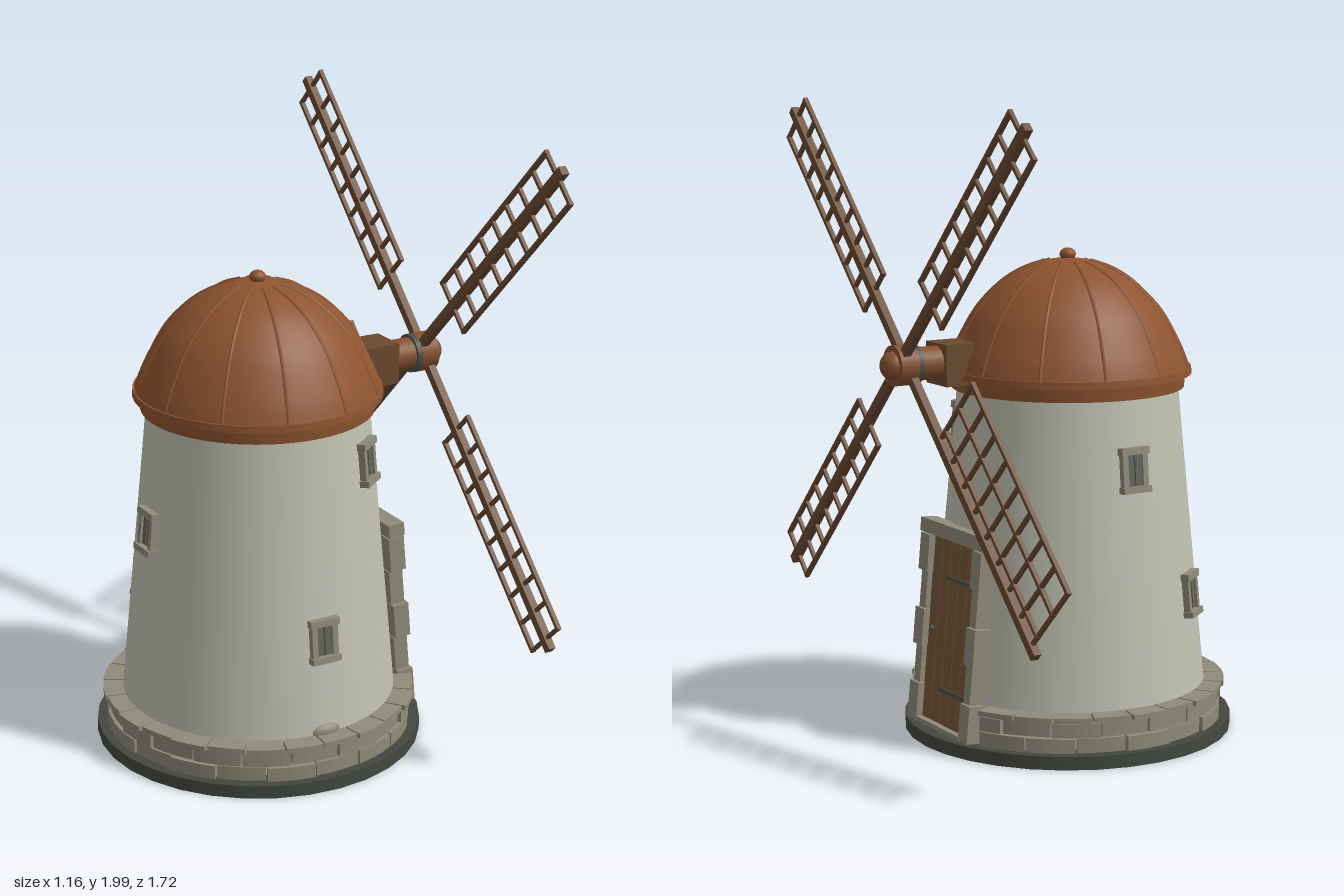
import * as THREE from 'three';

const mat = (name, color) => Object.assign(new THREE.MeshStandardMaterial({ color }), { name });

export function createModel() {
  const wall = mat('limewash', 0xc0c1b1), stone = mat('stone', 0x8f8b79), base = mat('dark plinth', 0x434840),
    roof = mat('rust roof', 0x8f5430), wood = mat('sail timber', 0x6a4a30), doorWood = mat('door timber', 0x765536),
    metal = mat('iron', 0x4c504c), shutter = mat('shutter', 0x63665a), rustWood = mat('hub timber', 0x84502f);

  const model = new THREE.Group();
  model.name = 'windmill';
  const mill = new THREE.Group();
  mill.name = 'mill';
  mill.position.set(-0.063, 0, 0.01);
  model.add(mill);

  const add = (parent, name, geo, m, x = 0, y = 0, z = 0) => {
    const mesh = new THREE.Mesh(geo, m);
    mesh.name = name;
    mesh.position.set(x, y, z);
    parent.add(mesh);
    return mesh;
  };
  const box = (parent, name, m, w, h, d, x, y, z) => add(parent, name, new THREE.BoxGeometry(w, h, d), m, x, y, z);
  const cyl = (rt, rb, h, n = 32) => new THREE.CylinderGeometry(rt, rb, h, n);

  // Tapered tower on a dark plinth
  const SLOPE = 0.0947, wallRadius = (y) => 0.44 - SLOPE * (y - 0.15);
  add(mill, 'plinth', cyl(0.525, 0.525, 0.042), base, 0, 0.021, 0);
  add(mill, 'tower', cyl(wallRadius(1.12), wallRadius(0.03), 1.09, 48), wall, 0, 0.575, 0);
  add(mill, 'footStone', new THREE.SphereGeometry(0.05, 16, 10), stone, 0, 0.16, 0.432).scale.set(1, 0.5, 0.4);

  // Stone courses, left open at the door (+x)
  const ringBlock = (a0, a1, r0, r1, h) => {
    const s = new THREE.Shape();
    s.absarc(0, 0, r1, a0, a1, false);
    s.absarc(0, 0, r0, a1, a0, true);
    return new THREE.ExtrudeGeometry(s, { depth: h, bevelEnabled: false, curveSegments: 3 }).rotateX(-Math.PI / 2);
  };
  const OPEN = 0.42, SPAN = Math.PI * 2 - OPEN * 2;
  [[0.042, 0.045, 0.492, 17, 0], [0.09, 0.045, 0.488, 17, 0.5], [0.139, 0.016, 0.503, 22, 0]].forEach(([y, h, r, n, shift], c) => {
    for (let i = 0; i < n + (shift ? 1 : 0); i++) {
      const f0 = Math.max(0, i - shift) / n, f1 = Math.min(n, i + 1 - shift) / n;
      const wobble = 0.005 * Math.sin(i * 2.7 + c * 1.9);
      add(mill, 'courseStone', ringBlock(OPEN + SPAN * f0 + 0.006, OPEN + SPAN * f1 - 0.006, 0.425, r + wobble, h), stone, 0, y, 0);
    }
  });
  add(mill, 'courseMortar', ringBlock(OPEN, OPEN + SPAN, 0.43, 0.472, 0.1), stone, 0, 0.04, 0);

  // Group lying on the leaning wall; angle runs from +z towards +x
  const onWall = (name, angle, y) => {
    const g = new THREE.Group(), r = wallRadius(y);
    g.name = name;
    g.position.set(Math.sin(angle) * r, y, Math.cos(angle) * r);
    g.rotation.set(-Math.atan(SLOPE), angle, 0, 'YXZ');
    mill.add(g);
    return g;
  };

  // Shuttered windows
  [[0, 0.46], [0.65, 0.965], [-Math.PI / 2, 0.75], [Math.PI, 0.885], [Math.PI + 0.62, 0.46]].forEach(([angle, y]) => {
    const w = onWall('window', angle, y);
    box(w, 'windowLintel', stone, 0.1, 0.022, 0.04, 0, 0.059, 0.003);
    box(w, 'windowSill', stone, 0.1, 0.02, 0.044, 0, -0.06, 0.005);
    box(w, 'windowOpening', metal, 0.066, 0.1, 0.02, 0, 0, -0.004);
    for (const s of [-1, 1]) {
      box(w, 'windowJamb', stone, 0.019, 0.1, 0.036, s * 0.036, 0, 0);
      box(w, 'windowShutter', shutter, 0.021, 0.094, 0.02, s * 0.0135, 0, 0.001);
    }
  });

  // Door with planks, straps and alternating jamb stones
  const door = onWall('door', Math.PI / 2, 0.36);
  box(door, 'doorBacking', metal, 0.28, 0.59, 0.03, 0, -0.012, -0.006);
  for (let i = 0; i < 5; i++) box(door, 'doorPlank', doorWood, 0.052, 0.588, 0.03, (i - 2) * 0.054, -0.012, -0.001);
  for (const y of [0.16, -0.195]) box(door, 'doorStrap', metal, 0.165, 0.012, 0.006, 0.052, y, 0.016);
  add(door, 'doorKnob', new THREE.SphereGeometry(0.009, 12, 8), metal, -0.105, -0.015, 0.019);
  box(door, 'doorLintel', stone, 0.386, 0.044, 0.056, 0, 0.304, 0.009);
  box(door, 'doorStep', stone, 0.28, 0.014, 0.055, 0, -0.313, 0.01);
  for (const s of [-1, 1]) {
    for (let i = 0; i < 5; i++) {
      const wide = i % 2 === 0, x0 = wide ? 0.132 : 0.138, x1 = wide ? 0.188 : 0.176;
      box(door, 'doorJamb', stone, x1 - x0, 0.117, wide ? 0.056 : 0.05, s * (x0 + x1) / 2, -0.259 + i * 0.1195, wide ? 0.008 : 0.004);
    }
  }

  // Domed cap with twelve ribs and a finial
  const profile = [[0.386, 1.16], [0.366, 1.215], [0.328, 1.292], [0.295, 1.345], [0.25, 1.395], [0.2, 1.438], [0.14, 1.472], [0.075, 1.495], [0, 1.505]];
  const domeCurve = new THREE.SplineCurve(profile.map(([r, y]) => new THREE.Vector2(r, y)));
  add(mill, 'eave', cyl(0.372, 0.368, 0.045, 48), roof, 0, 1.1225, 0);
  add(mill, 'rim', cyl(0.39, 0.392, 0.022, 48), roof, 0, 1.154, 0);
  const domePoints = domeCurve.getPoints(32);
  domePoints[32].x = 0;
  add(mill, 'dome', new THREE.LatheGeometry(domePoints, 48), roof);
  const ribPath = new THREE.CatmullRomCurve3(profile.slice(0, 8).map(([r, y]) => new THREE.Vector3(r - 0.002, y, 0)));
  const ribGeo = new THREE.TubeGeometry(ribPath, 24, 0.006, 6);
  for (let i = 0; i < 12; i++) add(mill, 'roofRib', ribGeo, roof).rotation.y = (i + 0.5) * Math.PI / 6;
  add(mill, 'finialNeck', cyl(0.017, 0.024, 0.02, 16), roof, 0, 1.506, 0);
  add(mill, 'finial', new THREE.SphereGeometry(0.026, 16, 12), roof, 0, 1.515, 0).scale.y = 0.8;

  // Windshaft along +x
  const rotor = new THREE.Group();
  rotor.name = 'rotor';
  rotor.position.set(0, 1.2, 0.06);
  model.add(rotor);
  const axial = (name, m, r0, r1, x0, x1) =>
    add(rotor, name, cyl(r1, r0, x1 - x0, 24).rotateZ(-Math.PI / 2), m, (x0 + x1) / 2, 0, 0);
  box(rotor, 'shaftHousing', wood, 0.19, 0.13, 0.128, 0.29, -0.005, -0.002);
  axial('shaft', rustWood, 0.052, 0.052, 0.38, 0.46);
  axial('shaftCollar', metal, 0.062, 0.062, 0.458, 0.474);
  axial('hub', rustWood, 0.063, 0.063, 0.474, 0.537);
  const nose = new THREE.SphereGeometry(0.045, 20, 8, 0, Math.PI * 2, 0, Math.PI / 2).rotateZ(-Math.PI / 2);
  add(rotor, 'hubNose', nose, rustWood, 0.535, 0, 0).scale.x = 0.9;

  // Four lattice sails; the two stocks cross one in front of the other
  const RUNGS = 9, U0 = 0.29, U1 = 1.022;
  for (let k = 0; k < 4; k++) {
    const sail = new THREE.Group();
    sail.name = 'sail';
    sail.position.x = k % 2 ? 0.514 : 0.488;
    sail.rotation.x = Math.PI / 4 + k * Math.PI / 2;
    rotor.add(sail);
    const rails = k === 2 ? [0.05, 0.165, 0.277] : [-0.086, 0.09];
    const v0 = k === 2 ? 0 : -0.092, v1 = k === 2 ? 0.283 : 0.096;
    box(sail, 'sailStock', wood, 0.025, 1.06, 0.028, 0, 0.53, 0);
    for (const v of rails) box(sail, 'sailRail', wood, 0.014, U1 - U0 + 0.012, 0.012, 0, (U0 + U1) / 2, v);
    for (let i = 0; i < RUNGS; i++)
      box(sail, 'sailRung', wood, 0.012, 0.011, v1 - v0, 0, U0 + (U1 - U0) * i / (RUNGS - 1), (v0 + v1) / 2);
  }
  return model;
}
